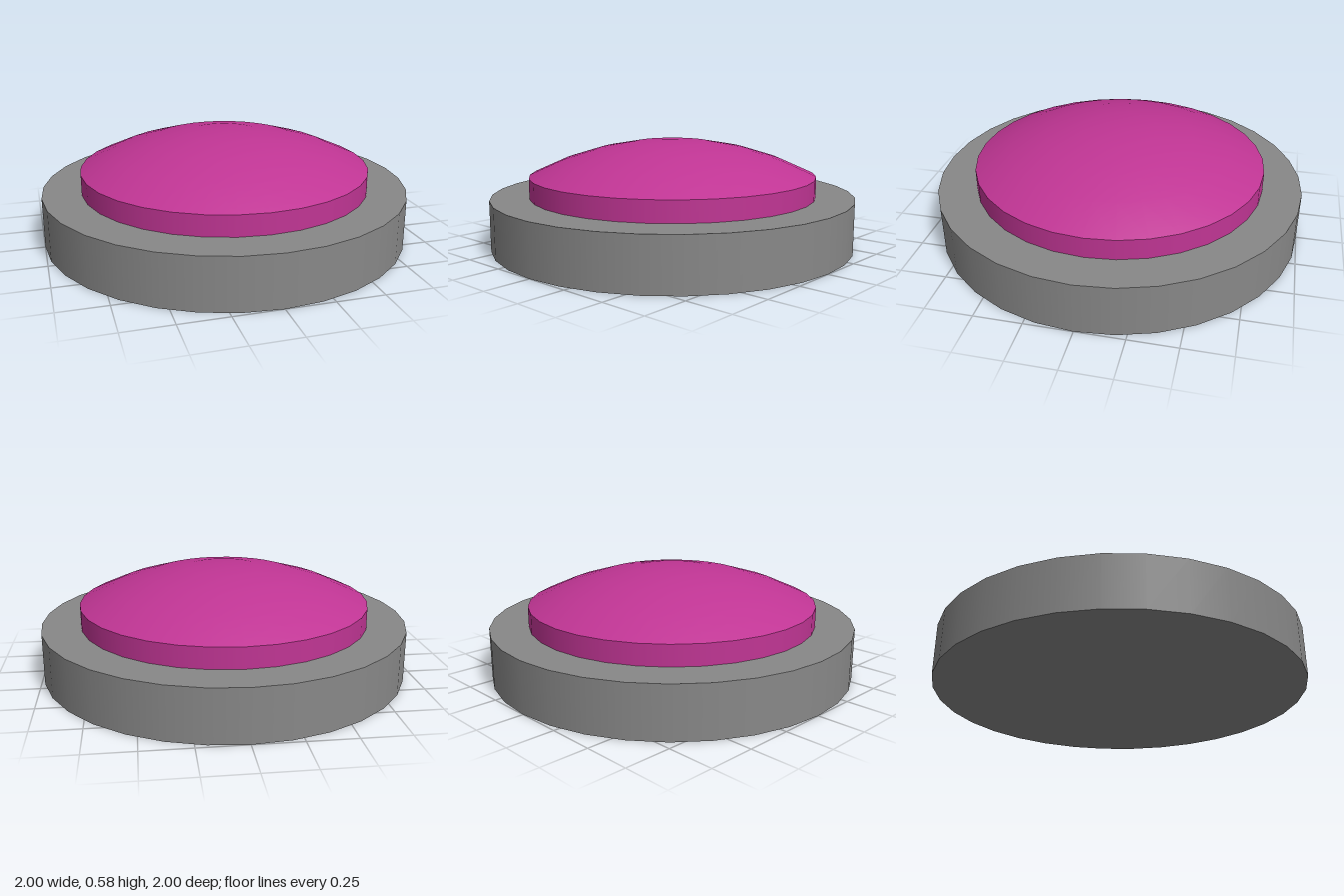
import * as THREE from 'three';

const SIDES = 32;
const BASE_HEIGHT = 0.275;
const BUTTON_RADIUS = 0.79;
const RIM_Y = 0.385;
const TOP_Y = 0.578;

function addPart(group, name, geometry, material, y) {
  const mesh = new THREE.Mesh(geometry, material);
  mesh.name = name;
  mesh.position.y = y;
  group.add(mesh);
}

export function createModel() {
  const model = new THREE.Group();
  model.name = 'pushButton';
  const grey = new THREE.MeshStandardMaterial({ color: 0x888888 });
  const magenta = new THREE.MeshStandardMaterial({ color: 0xc03594 });

  // Round base plate
  addPart(model, 'base', new THREE.CylinderGeometry(1, 1, BASE_HEIGHT, SIDES), grey, BASE_HEIGHT / 2);

  // Button: straight wall topped by a shallow spherical cap
  const button = new THREE.Group();
  button.name = 'button';
  const wallHeight = RIM_Y - BASE_HEIGHT;
  addPart(button, 'buttonWall',
    new THREE.CylinderGeometry(BUTTON_RADIUS, BUTTON_RADIUS, wallHeight, SIDES, 1, true),
    magenta, BASE_HEIGHT + wallHeight / 2);

  const rise = TOP_Y - RIM_Y;
  const radius = (BUTTON_RADIUS ** 2 + rise ** 2) / (2 * rise);
  const capAngle = Math.asin(BUTTON_RADIUS / radius);
  addPart(button, 'buttonDome',
    new THREE.SphereGeometry(radius, SIDES, 4, 0, Math.PI * 2, 0, capAngle),
    magenta, TOP_Y - radius);

  model.add(button);
  return model;
}
